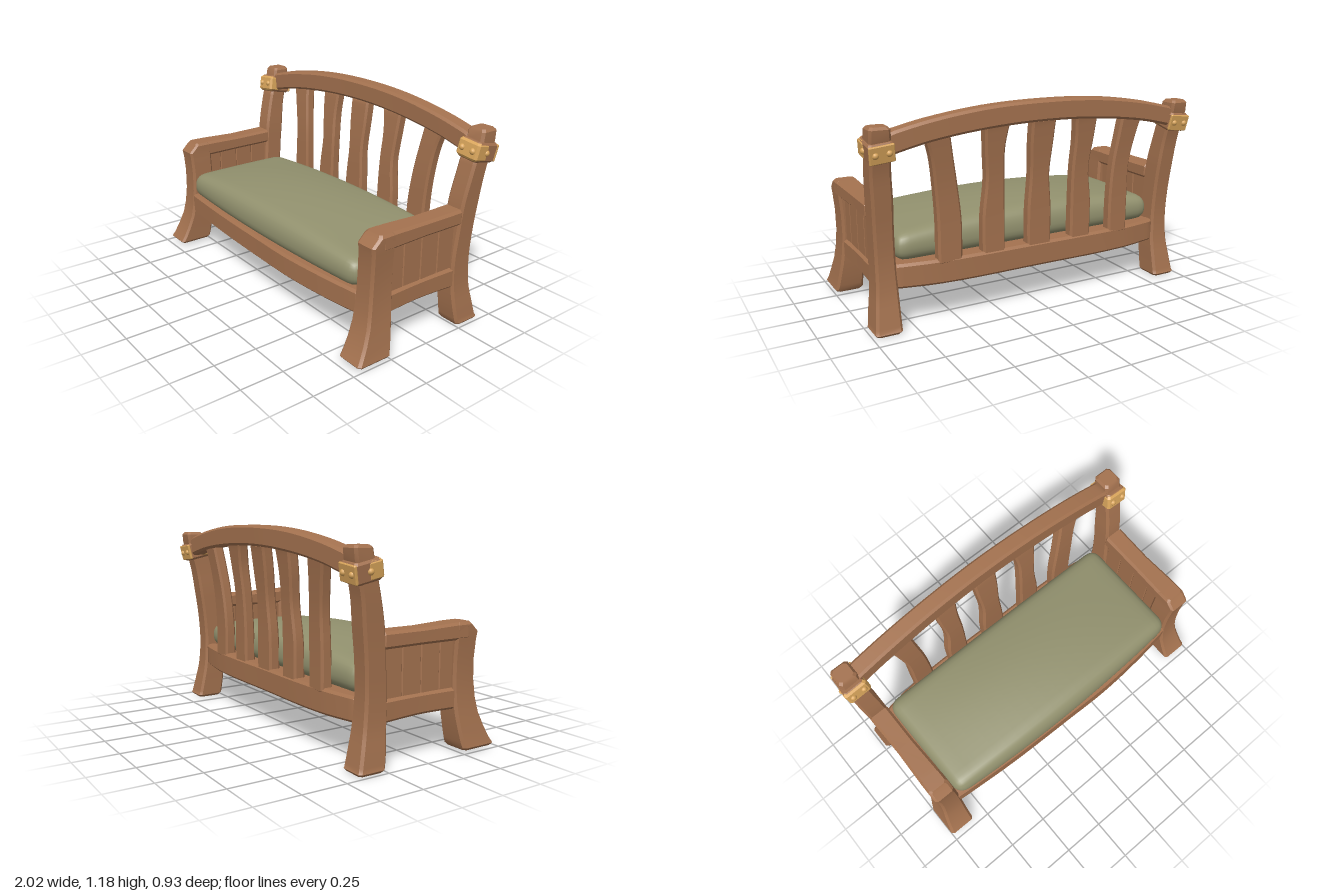
import * as THREE from 'three';
import { mergeVertices, toCreasedNormals } from 'three/addons/utils/BufferGeometryUtils.js';

const mat = (name, color) => Object.assign(new THREE.MeshStandardMaterial({ color }), { name });

// Chamfered beam along an axis. Each section is [t, a0, a1, b0, b1], where
// (a, b) is (y, z) for axis x, (z, x) for axis y and (x, y) for axis z.
function beam(axis, sections, c = 0.014, steps = 5) {
  const n = sections.length;
  const curve = new THREE.CubicInterpolant(sections.map(s => s[0]), sections.flatMap(s => s.slice(1)), 4);
  const rows = [];
  for (let i = 0; i < n - 1; i++) {
    for (let k = 0; k < steps; k++) {
      const t = THREE.MathUtils.lerp(sections[i][0], sections[i + 1][0], k / steps);
      rows.push(k === 0 ? [...sections[i]] : [t, ...curve.evaluate(t)]);
    }
  }
  rows.push([...sections[n - 1]]);
  const inset = ([t, a0, a1, b0, b1], d) => [t, a0 + d, a1 - d, b0 + d, b1 - d];
  const first = inset(rows[0], c * 0.8), last = inset(rows[rows.length - 1], c * 0.8);
  rows[0][0] += c;
  rows[rows.length - 1][0] -= c;
  rows.unshift(first);
  rows.push(last);

  const ax = { x: 0, y: 1, z: 2 }[axis], pos = [], idx = [];
  for (const [t, a0, a1, b0, b1] of rows) {
    const ring = [[a1, b0 + c], [a1, b1 - c], [a1 - c, b1], [a0 + c, b1],
      [a0, b1 - c], [a0, b0 + c], [a0 + c, b0], [a1 - c, b0]];
    for (const [a, b] of ring) {
      const p = [0, 0, 0];
      p[ax] = t; p[(ax + 1) % 3] = a; p[(ax + 2) % 3] = b;
      pos.push(...p);
    }
  }
  for (let r = 0; r < rows.length - 1; r++) {
    for (let i = 0; i < 8; i++) {
      const a = r * 8 + i, b = r * 8 + (i + 1) % 8;
      idx.push(a, b, b + 8, a, b + 8, a + 8);
    }
  }
  const e = (rows.length - 1) * 8;
  for (let i = 1; i < 7; i++) idx.push(0, i + 1, i, e, e + i, e + i + 1);
  const g = new THREE.BufferGeometry();
  g.setAttribute('position', new THREE.Float32BufferAttribute(pos, 3));
  g.setIndex(idx);
  return toCreasedNormals(g, 0.5);
}

// Block centred on its own origin
const block = (w, h, d, c) => beam('y', [[-h / 2, -d / 2, d / 2, -w / 2, w / 2], [h / 2, -d / 2, d / 2, -w / 2, w / 2]], c, 1);

// Copy reflected in x, with the corner order put right
function mirrored(geo) {
  const g = geo.index ? geo.toNonIndexed() : geo.clone();
  for (const name of ['position', 'normal']) {
    const a = g.attributes[name];
    for (let i = 0; i < a.count; i += 3) {
      const v = [0, 2, 1].map(k => [-a.getX(i + k), a.getY(i + k), a.getZ(i + k)]);
      v.forEach((p, k) => a.setXYZ(i + k, ...p));
    }
  }
  return g;
}

// Soft cushion: rounded box with a crowned top and a bowed front
function cushionGeometry() {
  const h = [0.83, 0.075, 0.35], r = 0.07;
  let g = new THREE.BoxGeometry(2, 2, 2, 28, 10, 24);
  g.deleteAttribute('uv');
  g.deleteAttribute('normal');
  g = mergeVertices(g);
  const p = g.attributes.position;
  for (let i = 0; i < p.count; i++) {
    const q = [p.getX(i), p.getY(i), p.getZ(i)].map((u, k) => Math.sin(u * Math.PI / 2) * h[k]);
    const core = q.map((u, k) => THREE.MathUtils.clamp(u, r - h[k], h[k] - r));
    const d = new THREE.Vector3(...q.map((u, k) => u - core[k])).setLength(r);
    let [x, y, z] = [core[0] + d.x, core[1] + d.y, core[2] + d.z];
    const fx = 1 - (x / h[0]) ** 2, fz = 1 - (z / h[2]) ** 2;
    if (y > 0) y += (y / h[1]) * fx * (0.033 + 0.04 * fz);
    if (z > 0) z += (z / h[2]) * 0.037 * fx;
    p.setXYZ(i, x, y + 0.43, z + 0.018);
  }
  g.computeVertexNormals();
  return g;
}

export function createModel() {
  const wood = mat('wood', 0xa4724f);
  const fabric = mat('cushion fabric', 0x92916e);
  const brass = mat('brass', 0xdaa65c);

  const bench = new THREE.Group();
  bench.name = 'bench';
  const add = (name, geo, material) => {
    const m = new THREE.Mesh(geo, material);
    m.name = name;
    bench.add(m);
  };
  const pair = (name, geo, material) => {
    add(name + 'Left', geo, material);
    add(name + 'Right', mirrored(geo), material);
  };

  // Splayed front legs, rising flush into the armrests
  pair('frontLeg', beam('y', [
    [0.015, 0.25, 0.465, 0.835, 1.0], [0.06, 0.242, 0.445, 0.834, 0.992], [0.12, 0.231, 0.415, 0.832, 0.982],
    [0.2, 0.22, 0.384, 0.828, 0.968], [0.28, 0.213, 0.368, 0.826, 0.958], [0.38, 0.21, 0.358, 0.827, 0.952],
    [0.5, 0.21, 0.355, 0.83, 0.954], [0.6, 0.21, 0.359, 0.836, 0.962], [0.638, 0.21, 0.365, 0.838, 0.965],
    [0.694, 0.21, 0.322, 0.838, 0.966]], 0.014, 1), wood);
  pair('armrest', beam('z', [
    [-0.262, 0.845, 0.964, 0.602, 0.689], [0, 0.845, 0.959, 0.602, 0.687], [0.2, 0.838, 0.965, 0.602, 0.694],
    [0.3, 0.838, 0.966, 0.602, 0.694]], 0.014, 1), wood);

  // Rear legs lean back as they become the back posts
  pair('backPost', beam('y', [
    [0, -0.415, -0.255, 0.835, 0.985], [0.1, -0.392, -0.238, 0.835, 0.972], [0.22, -0.368, -0.227, 0.835, 0.957],
    [0.38, -0.356, -0.222, 0.84, 0.953], [0.55, -0.363, -0.236, 0.845, 0.958], [0.72, -0.382, -0.252, 0.85, 0.966],
    [0.86, -0.4, -0.282, 0.86, 0.975], [0.97, -0.425, -0.31, 0.866, 0.98]]), wood);
  pair('postCap', beam('y', [
    [0.96, -0.425, -0.31, 0.868, 0.983], [1.04, -0.446, -0.332, 0.87, 0.987], [1.108, -0.452, -0.342, 0.874, 0.986]], 0.014, 1), wood);

  // Side frames with recessed boards
  pair('sideRail', beam('z', [
    [-0.26, 0.845, 0.948, 0.23, 0.35], [0, 0.845, 0.943, 0.24, 0.352], [0.25, 0.845, 0.948, 0.235, 0.35]]), wood);
  const joints = [-0.235, -0.12, 0.002, 0.125, 0.22];
  for (let i = 0; i < 4; i++) {
    pair('sideBoard' + (i + 1), beam('y', [
      [0.34, joints[i], joints[i + 1], 0.865, 0.93], [0.615, joints[i], joints[i + 1], 0.865, 0.93]], 0.005, 1), wood);
  }

  // Seat frame, bowed at front and back, with the board set up inside it
  add('frontRail', beam('x', [
    [-0.85, 0.23, 0.358, 0.29, 0.362], [-0.45, 0.226, 0.36, 0.31, 0.39], [0, 0.222, 0.358, 0.32, 0.402],
    [0.3, 0.224, 0.36, 0.32, 0.408], [0.6, 0.226, 0.362, 0.31, 0.39], [0.85, 0.23, 0.362, 0.29, 0.362]]), wood);
  add('rearRail', beam('x', [
    [-0.85, 0.225, 0.36, -0.35, -0.28], [-0.6, 0.22, 0.36, -0.385, -0.3], [0, 0.22, 0.36, -0.393, -0.31],
    [0.6, 0.22, 0.36, -0.385, -0.3], [0.85, 0.225, 0.36, -0.35, -0.28]]), wood);
  add('seatBoard', block(1.7, 0.05, 0.64, 0.005).translate(0, 0.33, 0), wood);
  add('cushion', cushionGeometry(), fabric);

  // Arched top rail
  add('topRail', beam('x', [
    [-0.89, 0.955, 1.072, -0.435, -0.335], [-0.67, 1.005, 1.12, -0.44, -0.34], [-0.35, 1.045, 1.163, -0.445, -0.348],
    [0, 1.06, 1.176, -0.45, -0.352], [0.35, 1.045, 1.163, -0.445, -0.348], [0.67, 1.005, 1.12, -0.44, -0.34],
    [0.89, 0.955, 1.072, -0.435, -0.335]]), wood);

  // Wavy back slats: left and right edges at the foot, middle, shoulder and top
  const slats = [
    [-0.615, -0.485, -0.615, -0.495, -0.645, -0.515, -0.68, -0.53],
    [-0.35, -0.215, -0.328, -0.215, -0.345, -0.22, -0.355, -0.21],
    [-0.08, 0.07, -0.064, 0.06, -0.075, 0.068, -0.082, 0.07],
    [0.215, 0.35, 0.22, 0.333, 0.225, 0.345, 0.205, 0.355],
    [0.475, 0.615, 0.5, 0.63, 0.53, 0.655, 0.555, 0.7]];
  slats.forEach((s, i) => add('backSlat' + (i + 1), beam('y', [
    [0.33, -0.388, -0.318, s[0], s[1]], [0.56, -0.388, -0.322, s[0], s[1]], [0.76, -0.395, -0.33, s[2], s[3]],
    [0.93, -0.412, -0.346, s[4], s[5]], [1.07, -0.43, -0.364, s[6], s[7]]], 0.012), wood));

  // Brass-strapped collars around the posts
  const onPost = g => g.rotateX(-0.2).rotateZ(-0.1).translate(0.926, 0.99, -0.373);
  pair('collar', onPost(block(0.134, 0.108, 0.155, 0.012)), wood);
  pair('frontStrap', onPost(block(0.142, 0.098, 0.09, 0.012).translate(0, 0, 0.039)), brass);
  pair('rearStrap', onPost(block(0.134, 0.094, 0.016, 0.004).translate(0, 0, -0.075)), brass);
  const studs = [[-0.036, 0, 0.08], [0.036, 0, 0.08], [-0.036, 0, -0.078], [0.036, 0, -0.078], [0.064, 0, 0.005]];
  studs.forEach((s, i) => pair('stud' + (i + 1),
    onPost(new THREE.SphereGeometry(0.018, 12, 8).translate(...s)), brass));

  return bench;
}
